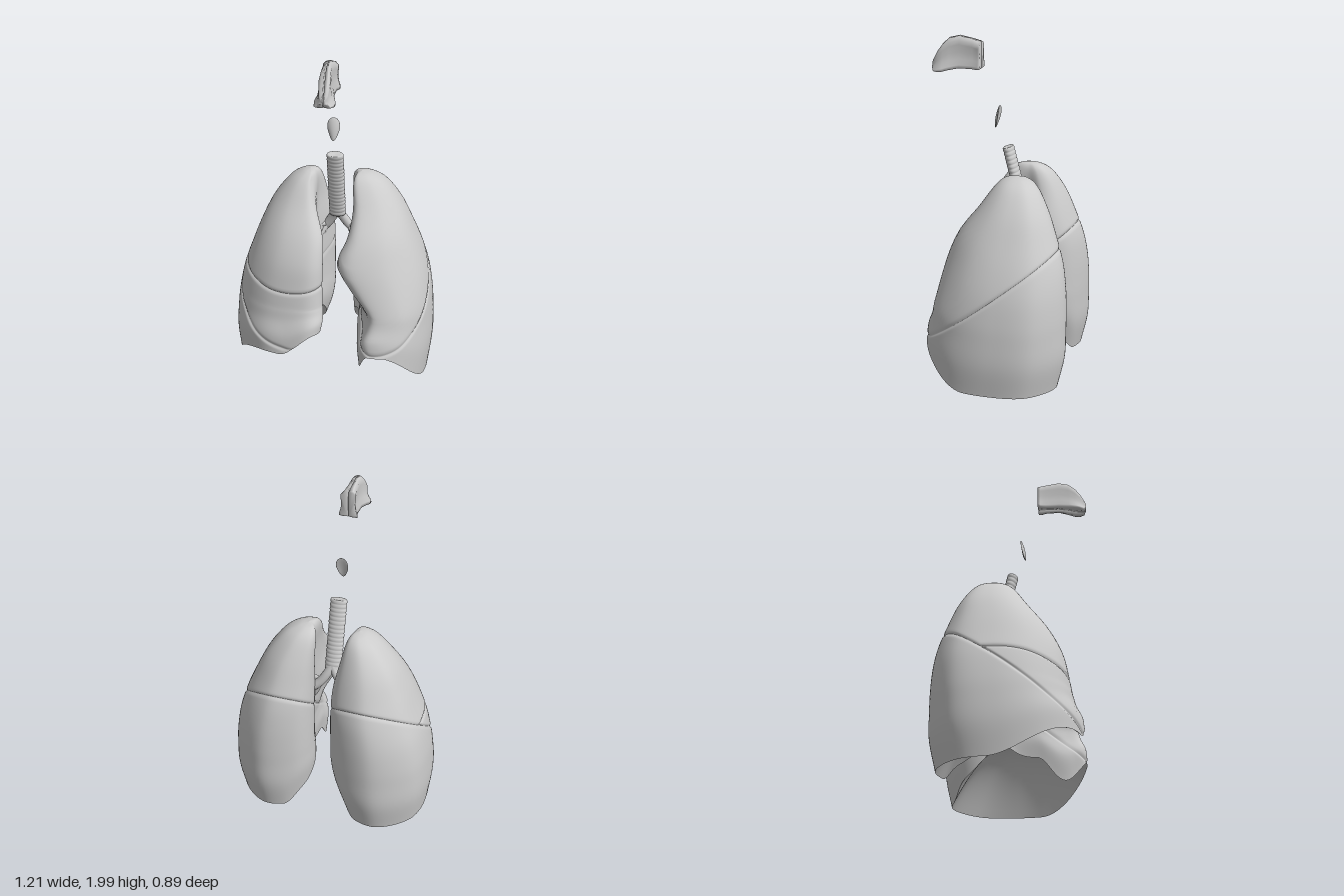
import * as THREE from 'three';

const grey = new THREE.MeshStandardMaterial({ color: 0xcccccc, side: THREE.DoubleSide });
grey.name = 'light grey';
const lerp = THREE.MathUtils.lerp, clamp = THREE.MathUtils.clamp, smooth = THREE.MathUtils.smoothstep;

function mesh(name, geometry) {
  const m = new THREE.Mesh(geometry, grey);
  m.name = name;
  return m;
}

// Surface through closed loops of points, all of the same length
function loft(rows, flip = false, caps = false) {
  const n = rows[0].length, pos = [], index = [];
  rows.forEach(row => row.forEach(p => pos.push(p.x, p.y, p.z)));
  const tri = (a, b, c) => (flip ? index.push(a, c, b) : index.push(a, b, c));
  for (let i = 0; i < rows.length - 1; i++) {
    for (let j = 0; j < n; j++) {
      const a = i * n + j, b = i * n + (j + 1) % n;
      tri(a, a + n, b);
      tri(b, a + n, b + n);
    }
  }
  if (caps) {
    const last = (rows.length - 1) * n;
    for (let j = 1; j < n - 1; j++) {
      tri(0, j, j + 1);
      tri(last, last + j + 1, last + j);
    }
  }
  const g = new THREE.BufferGeometry();
  g.setAttribute('position', new THREE.Float32BufferAttribute(pos, 3));
  g.setIndex(index);
  g.computeVertexNormals();
  return g;
}

// Lung levels from apex to base: height, back z, front z
const LEVELS = [
  [1.228, -0.1, -0.1], [1.212, -0.175, -0.03], [1.16, -0.24, 0.03], [1.04, -0.31, 0.115],
  [0.9, -0.365, 0.225], [0.76, -0.41, 0.295], [0.62, -0.432, 0.327], [0.48, -0.44, 0.35],
  [0.36, -0.44, 0.365], [0.2, -0.435, 0.397], [0.015, -0.395, 0.408]];
// Distance from the midline at each level: back edge, hilum, front edge, outer side
const LEFT = [
  [0.15, 0.15, 0.15, 0.15], [0.11, 0.12, 0.12, 0.22], [0.09, 0.11, 0.11, 0.3],
  [0.09, 0.125, 0.12, 0.39], [0.09, 0.13, 0.1, 0.46], [0.09, 0.13, 0.045, 0.52],
  [0.09, 0.14, 0.12, 0.565], [0.09, 0.15, 0.215, 0.59], [0.09, 0.15, 0.215, 0.6],
  [0.09, 0.15, 0.185, 0.603], [0.1, 0.16, 0.2, 0.58]];
const RIGHT = [
  [0.16, 0.16, 0.16, 0.16], [0.12, 0.125, 0.14, 0.215], [0.095, 0.11, 0.135, 0.29],
  [0.07, 0.115, 0.105, 0.385], [0.04, 0.12, 0.05, 0.455], [0.03, 0.12, 0.04, 0.51],
  [0.03, 0.12, 0.04, 0.56], [0.03, 0.12, 0.035, 0.59], [0.03, 0.12, 0.03, 0.603],
  [0.045, 0.12, 0.03, 0.607], [0.08, 0.13, 0.04, 0.585]];

const oblique = p => p.y - (0.556 - 0.747 * p.z);
const horizontal = p => p.y - 0.588 - 0.8 * (Math.abs(p.x) - 0.25) ** 2;
// Rise of the base rim toward the front
const leftRise = z => 0.225 * clamp((z - 0.11) / 0.29, 0, 1) ** 1.9;
const rightRise = z => 0.205 * smooth(z, -0.1, 0.38);

function makeLung(name, side, widths, frontRise, threeLobes) {
  const group = new THREE.Group();
  group.name = name;
  const SEG = 100, ROWS = 34;
  const spline = new THREE.CubicInterpolant(
    LEVELS.map((_, i) => i), LEVELS.flatMap((l, i) => [...l, ...widths[i]]), 7);

  // Point on the lung: t runs from apex to rim, u around the section
  function point(t, u, groove) {
    const [y, zb, zf, xb, xh, xf, xl] = spline.evaluate(t * (LEVELS.length - 1));
    const d = zf - zb;
    const outline = [
      [xf, zf - 0.1 * d], [lerp(xf, xl, 0.17), zf], [lerp(xf, xl, 0.6), zf - 0.055 * d],
      [lerp(xf, xl, 0.9), zf - 0.25 * d], [xl, zb + 0.48 * d], [lerp(xb, xl, 0.92), zb + 0.18 * d],
      [lerp(xb, xl, 0.54), zb], [lerp(xb, xl, 0.14), zb + 0.08 * d], [xb, zb + 0.27 * d],
      [xh, zb + 0.5 * d], [lerp(xh, xf, 0.3), zb + 0.72 * d]];
    const curve = new THREE.CatmullRomCurve3(
      outline.map(([x, z]) => new THREE.Vector3(x, 0, z)), true, 'catmullrom', 0.5);
    const p = curve.getPoint(u);
    // The base rim also curves up at the inner back edge and arches along the midline
    const rise = frontRise(p.z) + 0.14 * (1 - smooth(p.x - xb, 0, 0.14)) * (1 - smooth(p.z, -0.15, 0.1));
    const nearMidline = (1 - smooth(p.x - xh, -0.07, 0.15)) * smooth(p.z, -0.3, -0.03)
      * (threeLobes ? 1 : 1 - smooth(p.z, 0.12, 0.33));
    p.y = y + lerp(rise, 0.34, nearMidline) * clamp((0.5 - y) / 0.485, 0, 1);
    if (groove) {
      const o = oblique(p), h = horizontal(p);
      let dip = Math.exp(-((o / 0.011) ** 2));
      if (threeLobes && o > 0) dip = Math.max(dip, Math.exp(-((h / 0.009) ** 2)));
      const to = new THREE.Vector3((xb + xl) / 2 - p.x, 0, (zb + zf) / 2 - p.z);
      p.addScaledVector(to.normalize(), 0.008 * dip);
    }
    p.x *= side;
    return p;
  }

  // Where a meridian meets a fissure
  function crossing(u, f) {
    if (f(point(1, u)) > 0) return 1;
    let a = 0, b = 1;
    for (let k = 0; k < 18; k++) {
      const m = (a + b) / 2;
      if (f(point(m, u)) > 0) a = m; else b = m;
    }
    return (a + b) / 2;
  }

  const cuts = Array.from({ length: SEG }, (_, j) => {
    const o = crossing(j / SEG, oblique);
    return [0, threeLobes ? Math.min(o, crossing(j / SEG, horizontal)) : o, o, 1];
  });
  const lobes = threeLobes
    ? [['upperLobe', 0, 1], ['middleLobe', 1, 2], ['lowerLobe', 2, 3]]
    : [['upperLobe', 0, 2], ['lowerLobe', 2, 3]];
  for (const [lobe, from, to] of lobes) {
    const rows = [];
    for (let i = 0; i <= ROWS; i++) {
      const e = (1 - Math.cos(Math.PI * i / ROWS)) / 2;
      rows.push(cuts.map((c, j) => point(lerp(c[from], c[to], e), j / SEG, true)));
    }
    group.add(mesh(lobe, loft(rows, side < 0)));
  }

  // Hollow underside
  const rim = cuts.map((_, j) => point(1, j / SEG, true));
  const top = new THREE.Vector3(side * 0.33, 0.4, -0.02);
  const dome = [];
  for (let i = 0; i <= 16; i++) {
    const s = i / 16;
    dome.push(rim.map(p => new THREE.Vector3(
      lerp(p.x, top.x, s), lerp(p.y, top.y, 1 - (1 - s) ** 2), lerp(p.z, top.z, s))));
  }
  group.add(mesh('baseSurface', loft(dome, side < 0)));
  return group;
}

function tube(name, points, radius) {
  const curve = new THREE.CatmullRomCurve3(points.map(p => new THREE.Vector3(...p)));
  return mesh(name, new THREE.TubeGeometry(curve, 16, radius, 14));
}

function makeAirway() {
  const group = new THREE.Group();
  group.name = 'airway';
  // Ringed windpipe
  const length = 0.44, rings = 17, profile = [new THREE.Vector2(0.001, 0)];
  for (let i = 0; i <= rings * 6; i++) {
    const r = 0.047 + 0.004 * Math.abs(Math.sin(Math.PI * i / 6)) ** 0.7;
    profile.push(new THREE.Vector2(r, length * i / (rings * 6)));
  }
  profile.push(new THREE.Vector2(0.04, length), new THREE.Vector2(0.001, length - 0.004));
  const windpipe = mesh('windpipe', new THREE.LatheGeometry(profile, 32));
  windpipe.scale.z = 0.65;
  windpipe.rotation.x = 0.255;
  windpipe.position.set(0, 0.93, -0.118);
  group.add(windpipe);
  // Branches into each lung
  for (const s of [1, -1]) {
    group.add(tube('mainBronchus', [[0, 0.96, -0.115], [s * 0.03, 0.905, -0.135],
      [s * 0.075, 0.84, -0.15], [s * 0.16, 0.77, -0.165]], 0.027));
    for (const [y, z] of [[0.85, -0.1], [0.74, -0.08], [0.68, -0.14]]) {
      group.add(tube('lobarBronchus',
        [[s * 0.065, 0.85, -0.145], [s * 0.11, lerp(0.85, y, 0.6), (z - 0.145) / 2], [s * 0.19, y, z]], 0.016));
    }
  }
  return group;
}

// Leaf-shaped flap, curved across its width
function makeEpiglottis() {
  const g = new THREE.SphereGeometry(1, 24, 18), p = g.attributes.position;
  for (let i = 0; i < p.count; i++) {
    const x = p.getX(i), y = p.getY(i), z = p.getZ(i);
    const w = 0.036 * (1 + 0.25 * y) * (y < 0 ? 1 + 0.2 * y : 1);
    p.setXYZ(i, x * w, 1.532 + 0.068 * y,
      0.056 - 0.013 * y + 0.007 * z - 0.012 * x * x + 0.004 * (1 - y * y));
  }
  g.computeVertexNormals();
  return mesh('epiglottis', g);
}

// Nasal passage half: z, bottom, top, upper width, lower width
const NASAL = [
  [0.15, 1.815, 1.97, 0.045, 0.055], [0.165, 1.81, 1.975, 0.042, 0.052],
  [0.2, 1.812, 1.985, 0.032, 0.04], [0.28, 1.812, 2.0, 0.026, 0.038],
  [0.34, 1.8, 1.985, 0.028, 0.05], [0.38, 1.79, 1.95, 0.032, 0.06],
  [0.41, 1.787, 1.91, 0.03, 0.056], [0.435, 1.788, 1.865, 0.024, 0.042],
  [0.447, 1.81, 1.84, 0.012, 0.022]];

function makeNasalHalf(side) {
  const rows = NASAL.map(([z, bottom, top, wt, wb]) => [
    [0.003, 0], [wb * 0.6, -0.01], [wb, 0], [wb * 0.98, 0.1], [lerp(wt, wb, 0.5) * 0.9, 0.28],
    [lerp(wt, wb, 0.3) * 0.85, 0.5], [wt, 0.72], [wt, 0.85], [wt * 0.6, 0.97], [0.003, 1],
  ].map(([x, v]) => new THREE.Vector3(side * x, lerp(bottom, top, v), z)));
  return mesh('nasalPassage', loft(rows, side > 0, true));
}

export function createModel() {
  const model = new THREE.Group();
  model.name = 'respiratorySystem';
  model.add(makeLung('leftLung', 1, LEFT, leftRise, false));
  model.add(makeLung('rightLung', -1, RIGHT, rightRise, true));
  model.add(makeAirway(), makeEpiglottis(), makeNasalHalf(1), makeNasalHalf(-1));
  return model;
}
